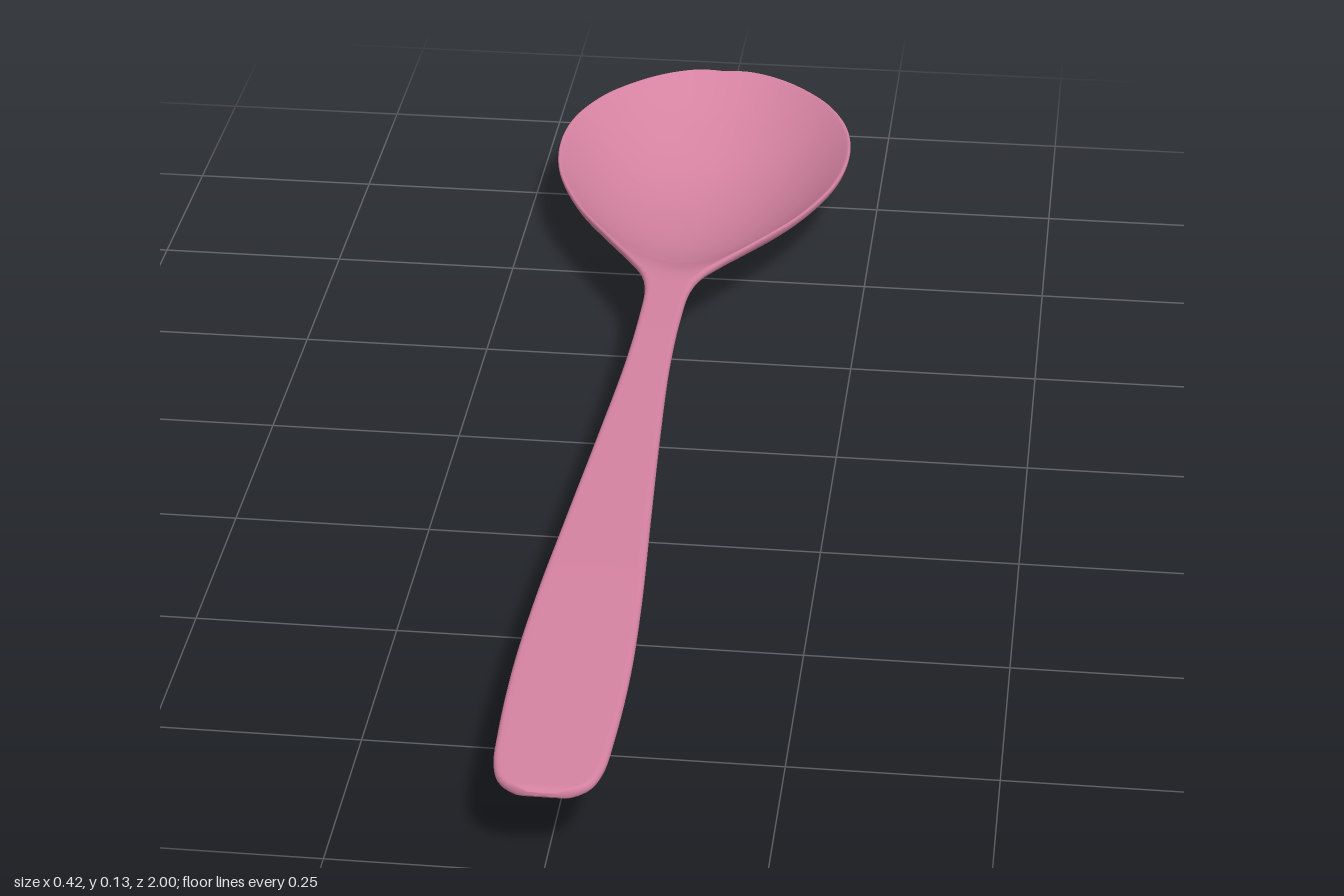
import * as THREE from 'three';

// Outline as [z, half width], from the bowl tip to the handle end
const OUTLINE = [
  [-1, 0], [-0.993, 0.05], [-0.975, 0.09], [-0.945, 0.126], [-0.9, 0.163], [-0.85, 0.188],
  [-0.8, 0.203], [-0.74, 0.21], [-0.67, 0.207], [-0.6, 0.193], [-0.5, 0.155], [-0.4, 0.1],
  [-0.34, 0.066], [-0.29, 0.042], [-0.24, 0.031], [-0.15, 0.028], [0, 0.03], [0.2, 0.04], [0.4, 0.052],
  [0.6, 0.064], [0.75, 0.069], [0.88, 0.067], [0.95, 0.062], [0.98, 0.052], [0.995, 0.034], [1, 0.015], [1, 0],
];
// Height of the rim and handle along z
const HEIGHT = [[-1, 0.095], [-0.7, 0.097], [-0.5, 0.1], [-0.3, 0.107], [-0.1, 0.115],
  [0.2, 0.119], [0.5, 0.117], [0.8, 0.11], [1, 0.105]];
// Depth of the bowl below the rim along z
const DEPTH = [[-1, 0], [-0.95, 0.03], [-0.9, 0.052], [-0.8, 0.081], [-0.7, 0.0905], [-0.6, 0.084],
  [-0.5, 0.066], [-0.4, 0.036], [-0.35, 0.018], [-0.3, 0.004], [-0.25, 0], [1, 0]];
const HALF_THICKNESS = 0.0065;

// Smooth cubic interpolation through [position, value] pairs
function sample(table, z) {
  const last = table.length - 1;
  const slope = (i) => {
    const a = table[Math.max(i - 1, 0)], b = table[Math.min(i + 1, last)];
    return (b[1] - a[1]) / (b[0] - a[0]);
  };
  let i = 0;
  while (i < last - 1 && z > table[i + 1][0]) i++;
  const [z0, v0] = table[i], [z1, v1] = table[i + 1];
  const h = z1 - z0, t = THREE.MathUtils.clamp((z - z0) / h, 0, 1), s = 1 - t;
  const m0 = i === last - 1 && v0 === v1 ? 0 : slope(i);
  const m1 = v1 === 0 && i >= last - 2 ? 0 : slope(i + 1);
  return s * s * (1 + 2 * t) * v0 + t * t * (3 - 2 * t) * v1 + h * t * s * (s * m0 - t * m1);
}

// Flat strip with round edges, as [side -1..1, edge offset, thickness offset]
function stripSection(across, arc) {
  const pts = [];
  for (const side of [1, -1]) {
    for (let k = 0; k < arc; k++) {
      const a = -Math.PI / 2 + (Math.PI * k) / arc;
      pts.push([side, side * Math.cos(a), side * Math.sin(a)]);
    }
    for (let k = 0; k < across; k++) pts.push([side * (1 - (2 * k) / across), 0, side]);
  }
  return pts;
}

function spoonGeometry() {
  const curve = new THREE.CatmullRomCurve3(OUTLINE.map(([z, w]) => new THREE.Vector3(w, 0, z)));
  const stations = curve.getSpacedPoints(240);
  const section = stripSection(28, 8);
  const n = section.length;
  const positions = [], index = [];

  stations.forEach((p, i) => {
    const z = THREE.MathUtils.clamp(p.z, -1, 1), w = Math.max(p.x, 0);
    // round off the thickness at both ends
    const d = Math.min((1 - Math.abs(z)) / HALF_THICKNESS, 1);
    const h = HALF_THICKNESS * Math.max(0.35, Math.sqrt(d * (2 - d)));
    const r = Math.min(h, w);
    const rim = sample(HEIGHT, z), depth = Math.max(sample(DEPTH, z), 0);
    section.forEach(([side, edge, lift], j) => {
      const x = side * (w - r) + edge * r;
      const u = w > 0 ? x / w : 1;
      const thick = w > 0 ? h : 0;
      positions.push(x, rim - (w > 0 ? depth * (1 - u * u) : 0) + lift * thick, z);
      if (i === 0) return;
      const k = (j + 1) % n, a = (i - 1) * n, b = i * n;
      index.push(a + j, a + k, b + j, a + k, b + k, b + j);
    });
  });

  const geometry = new THREE.BufferGeometry();
  geometry.setAttribute('position', new THREE.Float32BufferAttribute(positions, 3));
  geometry.setIndex(index);
  geometry.computeVertexNormals();
  return geometry;
}

export function createModel() {
  const group = new THREE.Group();
  group.name = 'spoon';
  // Bowl and handle are one continuous piece
  const body = new THREE.Mesh(spoonGeometry(), new THREE.MeshStandardMaterial({ color: 0xd4829f }));
  body.name = 'bowlAndHandle';
  group.add(body);
  return group;
}
